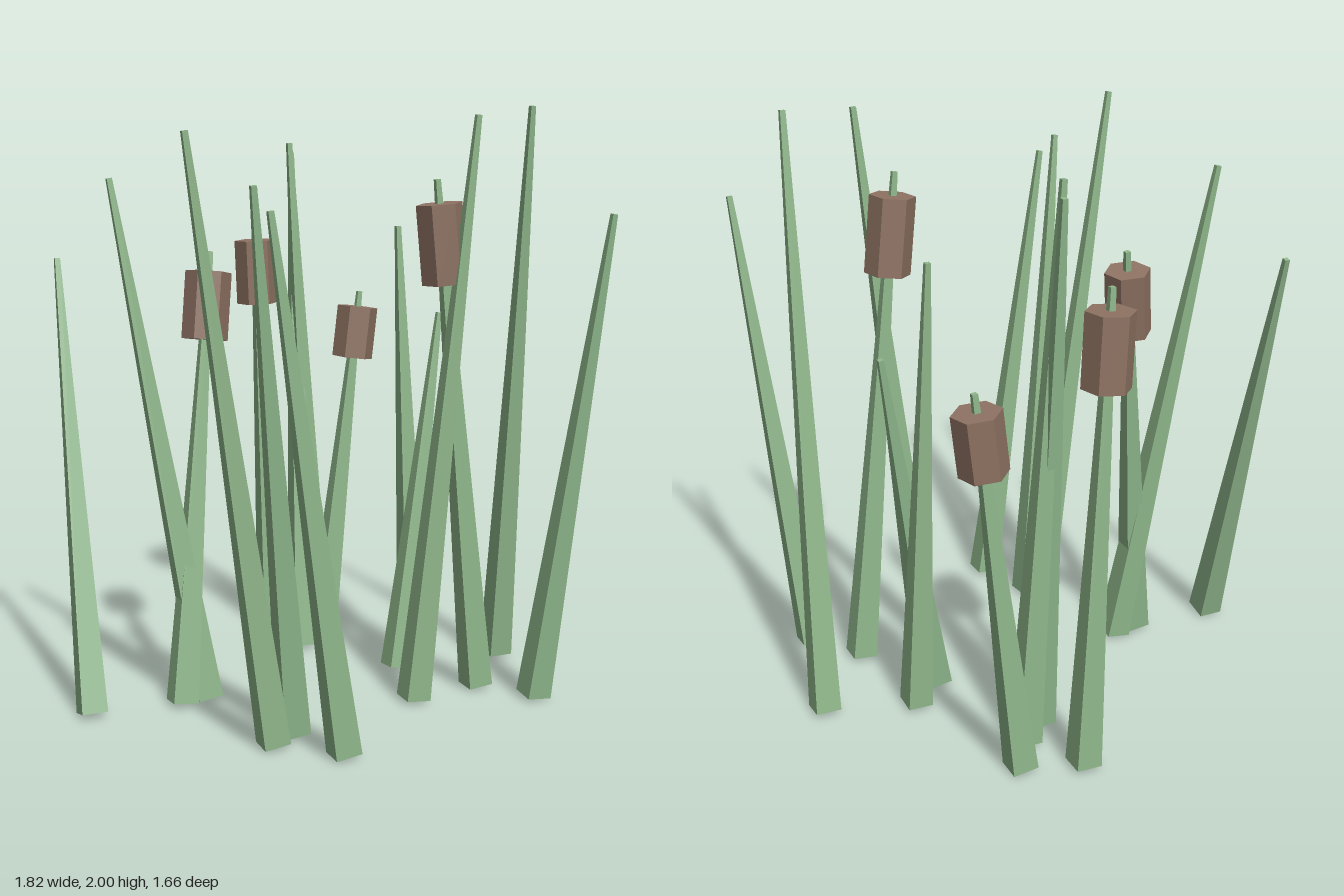
import * as THREE from 'three';

// Clump of tapered four-sided reeds, some carrying a hexagonal seed head
export function createModel() {
  const group = new THREE.Group();
  const reedGreen = new THREE.MeshStandardMaterial({ color: 0x8fb78b });
  reedGreen.name = 'reedGreen';
  const headBrown = new THREE.MeshStandardMaterial({ color: 0x8f7363 });
  headBrown.name = 'headBrown';
  const up = new THREE.Vector3(0, 1, 0);
  const baseY = 0.012;

  const faceted = (rTop, rBottom, height, sides) =>
    new THREE.CylinderGeometry(rTop, rBottom, height, sides).toNonIndexed();

  // A reed stands on its base centre and leans towards its tip
  function addReed([bx, bz, tx, ty, tz], hasHead) {
    const lean = new THREE.Vector3(tx - bx, ty - baseY, tz - bz);
    const length = lean.length();
    const reed = new THREE.Group();
    reed.name = hasHead ? 'cattail' : 'reed';
    reed.position.set(bx, baseY, bz);
    reed.quaternion.setFromUnitVectors(up, lean.normalize());

    const stemGeometry = faceted(0.0125, 0.061, length, 4);
    stemGeometry.computeVertexNormals();
    const stem = new THREE.Mesh(stemGeometry, reedGreen);
    stem.name = hasHead ? 'stem' : 'blade';
    stem.position.y = length / 2;
    reed.add(stem);

    if (hasHead) {
      const headGeometry = faceted(0.078, 0.078, length * 0.15, 6);
      headGeometry.computeVertexNormals();
      const head = new THREE.Mesh(headGeometry, headBrown);
      head.name = 'seedHead';
      head.position.y = length * 0.88;
      reed.add(head);
    }
    group.add(reed);
  }

  // base x, base z, tip x, tip y, tip z
  const blades = [
    [-0.646, 0.564, -0.9, 1.49, 0.3],
    [-0.365, 0.277, -0.64, 1.76, 0.388],
    [-0.29, -0.368, -0.4, 1.845, -0.53],
    [-0.285, -0.495, -0.372, 1.88, -0.45],
    [0.02, 0.58, -0.137, 1.9, 0.818],
    [0.04, 0.468, 0.04, 1.745, 0.738],
    [0.136, -0.412, 0.058, 1.585, -0.437],
    [0.256, 0.573, 0.108, 1.675, 0.77],
    [0.128, -0.258, 0.197, 1.275, -0.493],
    [0.293, 0.029, 0.465, 1.962, -0.066],
    [0.412, -0.556, 0.564, 1.998, -0.36],
    [0.662, -0.158, 0.897, 1.648, -0.14],
  ];
  const cattails = [
    [-0.504, -0.553, -0.537, 1.592, -0.496],
    [-0.418, 0.358, -0.411, 1.515, 0.125],
    [-0.32, -0.638, -0.215, 1.318, -0.761],
    [0.446, -0.188, 0.335, 1.756, -0.042],
  ];
  blades.forEach((b) => addReed(b, false));
  cattails.forEach((c) => addReed(c, true));
  return group;
}
